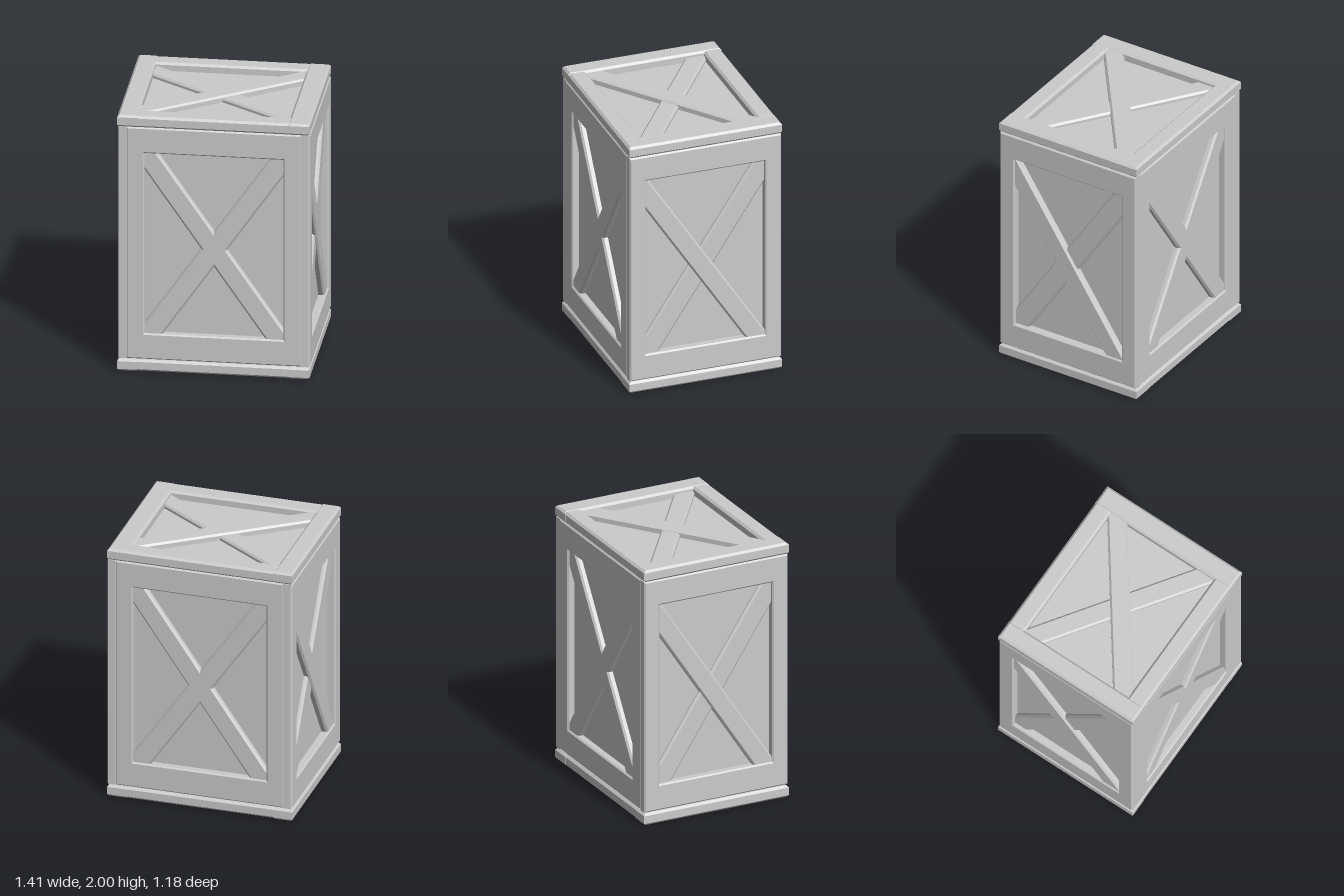
import * as THREE from 'three';

const material = new THREE.MeshStandardMaterial({ color: 0xcccccc });
const rect = (x0, y0, x1, y1) => [[x0, y0], [x1, y0], [x1, y1], [x0, y1]].map(p => new THREE.Vector2(...p));

// Chamfered slab from an outline (with optional opening), spanning z0..z1
function slab(name, outline, opening, z0, z1, bevel) {
  const shape = new THREE.Shape(outline);
  if (opening) shape.holes.push(new THREE.Path(opening));
  const geometry = new THREE.ExtrudeGeometry(shape, {
    depth: z1 - z0 - 2 * bevel, bevelThickness: bevel, bevelSize: bevel,
    bevelOffset: -bevel, bevelSegments: 1, curveSegments: 1,
  });
  geometry.translate(0, 0, z0 + bevel);
  const mesh = new THREE.Mesh(geometry, material);
  mesh.name = name;
  return mesh;
}

// Keep the part of a polygon where f(p) >= 0
function clip(points, f) {
  const out = [];
  points.forEach((a, i) => {
    const b = points[(i + 1) % points.length], fa = f(a), fb = f(b);
    if (fa >= 0) out.push(a);
    if (fa * fb < 0) out.push(a.clone().lerp(b, fa / (fa - fb)));
  });
  return out;
}

// Diagonal board along y = centre + slope * x, its ends tucked under the frame
function brace(opening, slope, centre, gap, z0, z1) {
  const [a, , c] = opening, tuck = 0.025;
  let points = rect(a.x - tuck, a.y - tuck, c.x + tuck, c.y + tuck);
  const offset = p => p.y - centre - slope * p.x;
  points = clip(points, p => gap / 2 - offset(p));
  points = clip(points, p => gap / 2 + offset(p));
  return slab('brace', points, null, z0, z1, 0.014);
}

// Wall: frame with a recessed panel and two crossed braces, facing +z
function wall(name, halfWidth, halfOpening, base, outer, braces) {
  const group = new THREE.Group();
  group.name = name;
  const opening = rect(-halfOpening, 0.3, halfOpening, 1.71);
  group.add(slab('wallFrame', rect(-halfWidth, 0.1, halfWidth, 1.91), opening, base - 0.02, outer, 0.01));
  for (const [slope, centre, gap, height] of braces)
    group.add(brace(opening, slope, centre, gap, base - 0.03, base + height));
  return group;
}

// Lid or base: four boards around a recessed panel; flip mirrors the plan
function cap(name, flip) {
  const group = new THREE.Group();
  group.name = name;
  const box = (x0, y0, x1, y1, top) =>
    group.add(slab('rimBoard', rect(x0, y0, x1, y1), null, 0.908, top, 0.016));
  box(-0.705, -0.59, -0.56, 0.59, 1);
  box(0.54, -0.59, 0.7, 0.59, 0.998);
  for (const s of [-1, 1]) box(-0.585, Math.min(s * 0.452, s * 0.588), 0.565, Math.max(s * 0.452, s * 0.588), 0.996);
  const opening = rect(-0.56, -0.452, 0.54, 0.452);
  group.add(brace(opening, 0.73 * flip, 0, 0.18, 0.9, 0.984));
  group.add(brace(opening, -0.7 * flip, 0, 0.18, 0.9, 0.968));
  return group;
}

export function createModel() {
  const model = new THREE.Group();
  model.name = 'crate';

  // Inner panels
  const core = new THREE.Mesh(new THREE.BoxGeometry(1.29, 1.87, 1.06), material);
  core.name = 'panels';
  core.position.y = 1;
  model.add(core);

  // Front and back have flush crosses, the sides have one brace over the other
  const flush = [[-1.45, 0.975, 0.27, 0.043], [1.45, 0.975, 0.27, 0.043]];
  const lapped = [[-1.525, 0.905, 0.27, 0.046], [1.52, 0.98, 0.3, 0.03]];
  ['frontWall', 'leftWall', 'backWall', 'rightWall'].forEach((name, i) => {
    const side = i % 2 === 1;
    const part = side ? wall(name, 0.585, 0.46, 0.645, 0.702, lapped)
      : wall(name, 0.64, 0.507, 0.53, 0.586, flush);
    part.rotation.y = i * Math.PI / 2;
    model.add(part);
  });

  // Lid and base
  for (const s of [1, -1]) {
    const part = cap(s > 0 ? 'lid' : 'base', s);
    part.rotation.x = -s * Math.PI / 2;
    part.position.y = 1;
    model.add(part);
  }
  return model;
}
